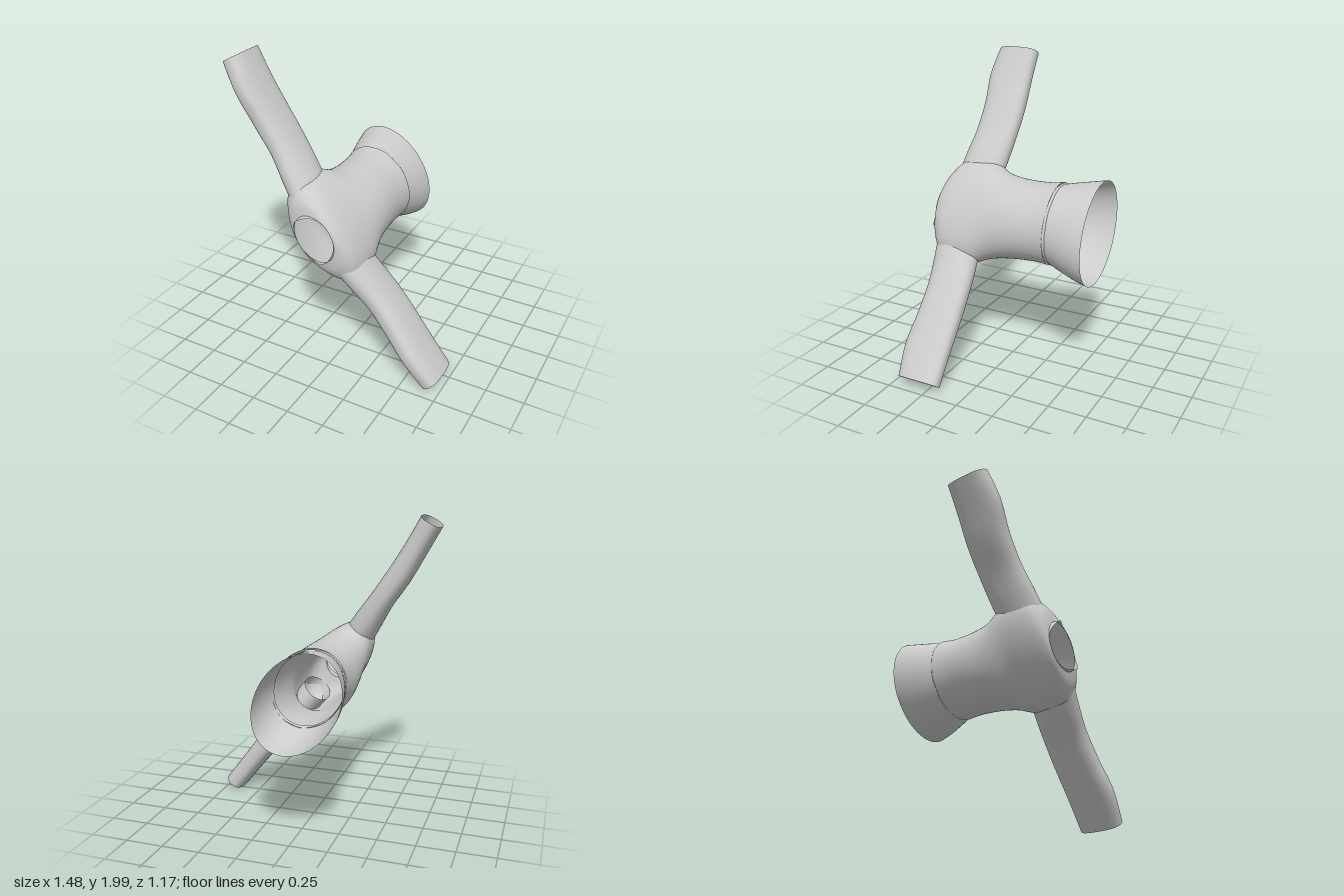
import * as THREE from 'three';

const D = new THREE.Vector3(0.577, -0.817, 0); // direction across the shoulders
const P = new THREE.Vector3(0.817, 0.577, 0);  // direction from back to chest
const Z = new THREE.Vector3(0, 0, 1);
const SEG = 64;

// Smooth interpolation through rows of numbers, spread evenly over t = 0..1
function sample(rows, t) {
  const f = t * (rows.length - 1);
  const i = Math.min(Math.floor(f), rows.length - 2);
  const k = f - i;
  const row = (n) => rows[Math.max(0, Math.min(rows.length - 1, n))];
  return rows[i].map((b, c) => {
    const p0 = row(i - 1)[c], p2 = row(i + 1)[c], p3 = row(i + 2)[c];
    return b + 0.5 * k * (p2 - p0 + k * (2 * p0 - 5 * b + 4 * p2 - p3 + k * (3 * (b - p2) + p3 - p0)));
  });
}

// Open tube through closed rings; point(t, angle) gives each vertex,
// and cut(centre) leaves out faces to make openings
function tube(name, steps, point, cut = () => false) {
  const pos = [], index = [], pts = [];
  for (let i = 0; i <= steps; i++) {
    for (let j = 0; j < SEG; j++) {
      const v = point(i / steps, (j / SEG) * Math.PI * 2);
      pts.push(v);
      pos.push(v.x, v.y, v.z);
    }
  }
  for (let i = 0; i < steps; i++) {
    for (let j = 0; j < SEG; j++) {
      const a = i * SEG + j, b = i * SEG + (j + 1) % SEG;
      const c = b + SEG, d = a + SEG;
      if (cut(pts[a].clone().add(pts[c]).multiplyScalar(0.5))) continue;
      index.push(a, b, c, a, c, d);
    }
  }
  const geo = new THREE.BufferGeometry();
  geo.setAttribute('position', new THREE.Float32BufferAttribute(pos, 3));
  geo.setIndex(index);
  geo.computeVertexNormals();
  const mesh = new THREE.Mesh(geo, new THREE.MeshStandardMaterial({
    color: 0xcccccc, roughness: 0.9, side: THREE.DoubleSide,
  }));
  mesh.name = name;
  return mesh;
}

// Elliptical ring point around the torso axis
function torsoPoint([z, a, b, x, y], angle) {
  return new THREE.Vector3(x, y, z)
    .addScaledVector(D, a * Math.cos(angle))
    .addScaledVector(P, b * Math.sin(angle));
}

// Flattens the sides of a sleeve section towards a rounded rectangle
const square = (v, power) => Math.sign(v) * Math.pow(Math.abs(v), power);

// Sleeve rows: x, y, near z, far z, half thickness, from shoulder to cuff
function sleeve(name, rows) {
  const centre = (t) => {
    const [x, y, z0, z1] = sample(rows, t);
    return new THREE.Vector3(x, y, (z0 + z1) / 2);
  };
  return tube(name, 36, (t, angle) => {
    const [, , z0, z1, w] = sample(rows, t);
    const along = centre(Math.min(1, t + 0.01)).sub(centre(Math.max(0, t - 0.01))).setZ(0).normalize();
    const side = new THREE.Vector3().crossVectors(Z, along);
    const power = 1 - 0.25 * Math.min(1, t * 2);
    return centre(t)
      .addScaledVector(side, w * square(Math.cos(angle), power))
      .addScaledVector(Z, ((z1 - z0) / 2) * square(Math.sin(angle), power));
  });
}

export function createModel() {
  const model = new THREE.Group();
  model.name = 'sweater';

  // Torso from waist to neckline: z, half width, half depth, centre x, centre y
  const torso = [
    [-0.29, 0.272, 0.228, -0.06, 0.975],
    [-0.18, 0.262, 0.222, -0.06, 0.97],
    [-0.02, 0.268, 0.224, -0.06, 0.965],
    [0.12, 0.295, 0.21, -0.055, 0.965],
    [0.24, 0.352, 0.188, -0.05, 0.97],
    [0.36, 0.365, 0.178, -0.05, 0.97],
    [0.46, 0.335, 0.165, -0.05, 0.97],
    [0.52, 0.25, 0.147, -0.053, 0.97],
    [0.542, 0.16, 0.126, -0.055, 0.97],
  ];
  const centre = new THREE.Vector3(-0.05, 0.97, 0);
  model.add(tube('torso', 64, (t, angle) => torsoPoint(sample(torso, t), angle), (v) => {
    // armholes, hidden under the sleeve tops
    const r = v.clone().sub(centre);
    return Math.abs(r.dot(D)) > 0.2 && Math.hypot(r.dot(P) / 0.07, (v.z - 0.32) / 0.12) < 1;
  }));

  // Flared hem band with a slanted lower edge
  const hem = [
    [-0.57, 0.346, 0.251, -0.073, 0.951],
    [-0.48, 0.323, 0.246, -0.071, 0.954],
    [-0.38, 0.292, 0.232, -0.068, 0.963],
    [-0.28, 0.257, 0.214, -0.06, 0.975],
  ];
  model.add(tube('hemBand', 18, (t, angle) => {
    const v = torsoPoint(sample(hem, t), angle);
    v.z += 0.014 * Math.sin(angle) * (1 - t);
    return v;
  }));

  // Rolled seam where the band meets the torso
  model.add(tube('waistSeam', 8, (t, angle) => {
    const r = 0.007 * Math.sin(t * Math.PI) + 0.002 * Math.sin(angle * 9);
    return torsoPoint([-0.305 + 0.02 * t, 0.262 + r, 0.219 + r, -0.06, 0.975], angle);
  }));

  // Collar standing up at both shoulders
  model.add(tube('collar', 4, (t, angle) => {
    const rise = 0.004 + 0.044 * Math.pow(Math.cos(angle), 6);
    return torsoPoint([0.54 + rise * t, 0.16 - 0.006 * t, 0.126, -0.055, 0.97], angle);
  }));

  // Sleeves, their tops tucked into the shoulders
  model.add(sleeve('rightSleeve', [
    [-0.19, 1.165, 0.2, 0.508, 0.1],
    [-0.27, 1.292, 0.182, 0.488, 0.092],
    [-0.365, 1.44, 0.168, 0.46, 0.079],
    [-0.48, 1.61, 0.163, 0.457, 0.078],
    [-0.585, 1.79, 0.165, 0.472, 0.073],
    [-0.68, 1.961, 0.162, 0.442, 0.073],
  ]));
  model.add(sleeve('leftSleeve', [
    [0.09, 0.785, 0.2, 0.515, 0.1],
    [0.195, 0.66, 0.182, 0.486, 0.092],
    [0.305, 0.535, 0.17, 0.463, 0.08],
    [0.425, 0.385, 0.168, 0.467, 0.077],
    [0.555, 0.22, 0.17, 0.484, 0.072],
    [0.685, 0.05, 0.17, 0.458, 0.069],
  ]));

  return model;
}
